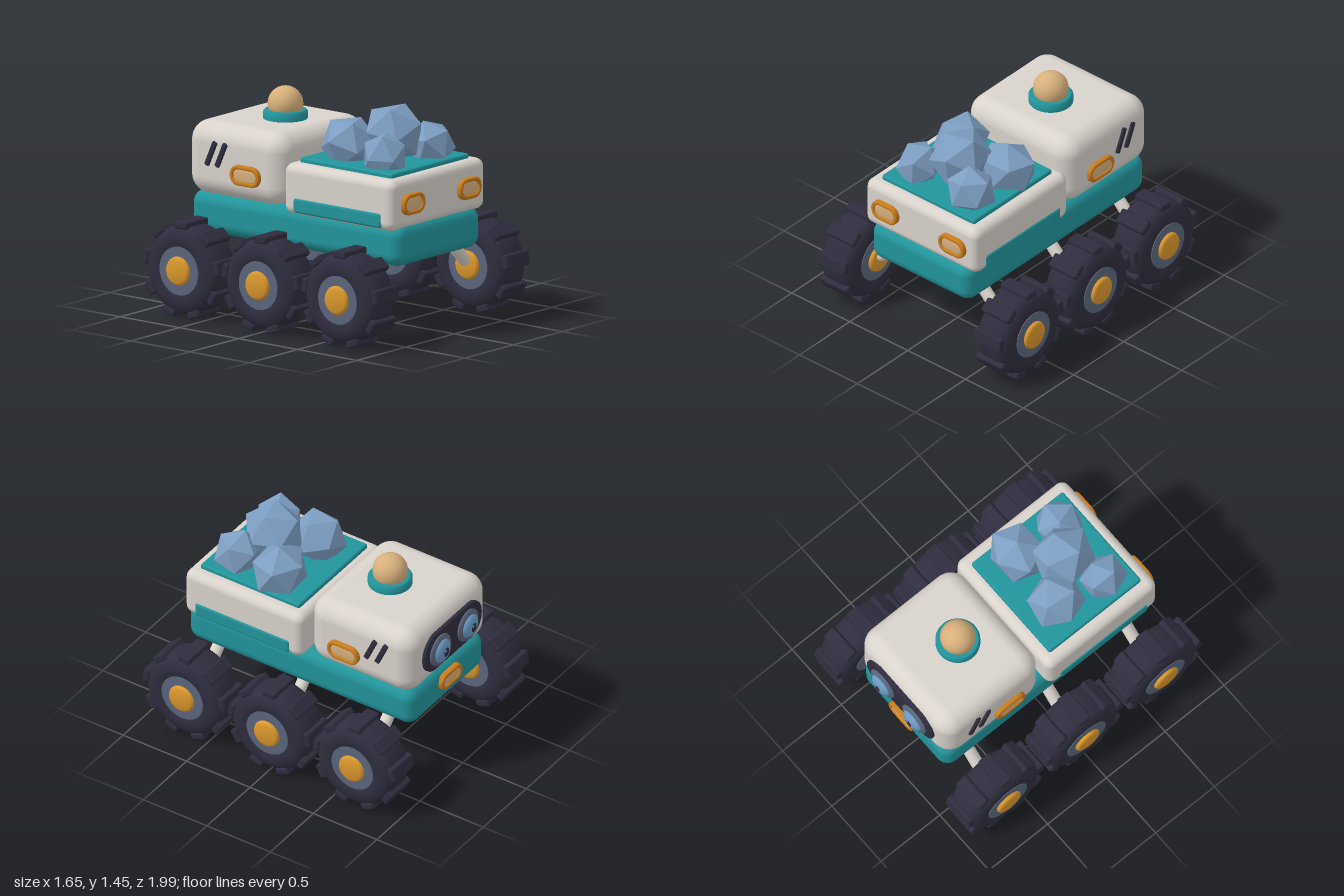
import * as THREE from 'three';
import { toCreasedNormals } from 'three/addons/utils/BufferGeometryUtils.js';
import { RoundedBoxGeometry } from 'three/addons/geometries/RoundedBoxGeometry.js';

const mat = (name, color, extra = {}) => {
  const m = new THREE.MeshStandardMaterial({ color, ...extra });
  m.name = name;
  return m;
};
const M = {
  shell: mat('shellWhite', 0xd9d3cc),
  teal: mat('teal', 0x22959c),
  dark: mat('darkRubber', 0x2f2d3e),
  slate: mat('slate', 0x5b667b),
  hub: mat('hubYellow', 0xdb982c),
  rim: mat('rimOrange', 0xc97d1c),
  tan: mat('lampTan', 0xd8b07c),
  rock: mat('rockBlue', 0x7d9ec2, { flatShading: true }),
  lens: mat('lensBlue', 0x6d9bc6),
};

function add(parent, name, geo, material, x = 0, y = 0, z = 0) {
  const m = new THREE.Mesh(geo, material);
  m.name = name;
  m.position.set(x, y, z);
  parent.add(m);
  return m;
}

function group(parent, name, x = 0, y = 0, z = 0, ry = 0) {
  const g = new THREE.Group();
  g.name = name;
  g.position.set(x, y, z);
  g.rotation.y = ry;
  parent.add(g);
  return g;
}

const rbox = (w, h, d, r, seg = 5) => new RoundedBoxGeometry(w, h, d, seg, r);
const lathe = (pts, seg = 40) =>
  toCreasedNormals(new THREE.LatheGeometry(pts.map(p => new THREE.Vector2(...p)), seg), 0.7);

// Rounded rectangle outline centred on the origin
function roundRect(w, h, r, Type = THREE.Shape) {
  const s = new Type(), x = w / 2 - r, y = h / 2 - r;
  s.absarc(x, y, r, 0, Math.PI / 2);
  s.absarc(-x, y, r, Math.PI / 2, Math.PI);
  s.absarc(-x, -y, r, Math.PI, Math.PI * 1.5);
  s.absarc(x, -y, r, Math.PI * 1.5, Math.PI * 2);
  s.closePath();
  return s;
}

// Plate from z = 0 to z = depth with a softened edge
function plate(shape, depth, bevel) {
  const g = new THREE.ExtrudeGeometry(shape, {
    depth: depth - bevel * 2, bevelEnabled: true, bevelThickness: bevel,
    bevelSize: bevel, bevelOffset: -bevel, bevelSegments: 3, curveSegments: 10,
  });
  return toCreasedNormals(g.translate(0, 0, bevel), 0.7);
}

// Lamp facing local +z: raised rim around an inset lens
function lamp(parent, name, x, y, z, ry, w = 0.22, h = 0.14) {
  const g = group(parent, name, x, y, z, ry);
  const rim = roundRect(w, h, h * 0.48);
  rim.holes.push(roundRect(w - 0.055, h - 0.055, (h - 0.055) * 0.48, THREE.Path));
  add(g, 'lampRim', plate(rim, 0.045, 0.01), M.rim, 0, 0, -0.012);
  add(g, 'lampLens', plate(roundRect(w - 0.05, h - 0.05, (h - 0.05) * 0.48), 0.035, 0.008), M.tan, 0, 0, -0.01);
}

const half = [[0.15, -0.12], [0.175, -0.131], [0.215, -0.135], [0.255, -0.125], [0.282, -0.105], [0.297, -0.07]];
const tyreGeo = lathe([...half, ...half.map(([r, y]) => [r, -y]).reverse()], 48);
const ringGeo = new THREE.CylinderGeometry(0.162, 0.162, 0.262, 40);
const hubGeo = lathe([[0, -0.157], [0.075, -0.157], [0.09, -0.151], [0.097, -0.138],
  [0.097, 0.138], [0.09, 0.151], [0.075, 0.157], [0, 0.157]], 32);
const lugGeo = rbox(0.235, 0.05, 0.1, 0.014, 2);

function wheel(parent, x, z) {
  const g = group(parent, 'wheel', x, 0.325, z);
  add(g, 'tyre', tyreGeo, M.dark).rotation.z = Math.PI / 2;
  add(g, 'wheelRing', ringGeo, M.slate).rotation.z = Math.PI / 2;
  add(g, 'hub', hubGeo, M.hub).rotation.z = Math.PI / 2;
  // Nine tread lugs, one at the very top
  for (let i = 0; i < 9; i++) {
    const a = (i / 9) * Math.PI * 2;
    add(g, 'treadLug', lugGeo, M.dark, 0, 0.3 * Math.cos(a), 0.3 * Math.sin(a)).rotation.x = a;
  }
}

function strut(parent, s, z) {
  const a = new THREE.Vector3(s * 0.32, 0.55, z), b = new THREE.Vector3(s * 0.515, 0.355, z);
  const m = add(parent, 'strut', new THREE.CylinderGeometry(0.042, 0.042, a.distanceTo(b), 20), M.shell);
  m.position.lerpVectors(a, b, 0.5);
  m.quaternion.setFromUnitVectors(new THREE.Vector3(0, 1, 0), a.clone().sub(b).normalize());
}

export function createModel() {
  const model = new THREE.Group();
  model.name = 'rover';

  // Chassis, cargo box and cab
  add(model, 'chassis', rbox(0.865, 0.28, 1.78, 0.085), M.teal, 0, 0.637, 0);
  add(model, 'cargoBox', rbox(0.97, 0.342, 0.93, 0.06), M.shell, 0, 0.915, 0.411);
  add(model, 'cargoBed', rbox(0.8, 0.06, 0.78, 0.015, 3), M.teal, 0, 1.086, 0.41);
  add(model, 'cab', rbox(0.92, 0.492, 0.825, 0.13, 8), M.shell, 0, 1.0, -0.493);

  // Beacon on the roof
  const beacon = group(model, 'beacon', 0, 1.235, -0.427);
  add(beacon, 'beaconCollar', lathe([[0, 0], [0.135, 0], [0.147, 0.012], [0.147, 0.055], [0.135, 0.07], [0, 0.07]]), M.teal);
  add(beacon, 'beaconDome', new THREE.SphereGeometry(0.117, 32, 20), M.tan, 0, 0.108, 0);

  // Running gear and side details, mirrored
  for (const s of [-1, 1]) {
    for (const z of [-0.67, 0, 0.67]) {
      wheel(model, s * 0.67, z);
      strut(model, s, z);
    }
    add(model, 'sidePanel', rbox(0.05, 0.1, 0.74, 0.018, 3), M.teal, s * 0.469, 0.814, 0.41);
    lamp(model, 'cabLamp', s * 0.457, 0.943, -0.378, s * Math.PI / 2, 0.245, 0.135);
    lamp(model, 'cargoLamp', s * 0.289, 0.915, 0.876, 0);
    for (const z of [-0.588, -0.674]) {
      add(model, 'ventSlit', rbox(0.04, 0.178, 0.036, 0.008, 2), M.dark, s * 0.457, 1.052, z).rotation.x = -s * 0.42;
    }
  }
  lamp(model, 'noseLamp', 0, 0.673, -0.888, Math.PI, 0.24, 0.12);

  // Face with two lens eyes
  const face = group(model, 'face', 0, 1.01, -0.895, Math.PI);
  add(face, 'facePlate', plate(roundRect(0.666, 0.285, 0.135), 0.032, 0.008), M.dark);
  const ball = new THREE.SphereGeometry(1, 32, 20);
  for (const s of [-1, 1]) {
    const eye = group(face, 'eye', s * 0.16, -0.005, 0.03);
    const ring = add(eye, 'eyeRing', lathe([[0, 0], [0.115, 0], [0.115, 0.012], [0.1, 0.024], [0, 0.024]]), M.slate);
    ring.rotation.x = Math.PI / 2;
    add(eye, 'eyeLens', ball, M.lens, 0, 0, 0.014).scale.set(0.087, 0.087, 0.045);
    add(eye, 'pupil', ball, M.dark, 0, 0, 0.037).scale.set(0.045, 0.05, 0.025);
    add(eye, 'eyeGlint', ball, M.lens, -0.012, 0.016, 0.056).scale.set(0.011, 0.011, 0.006);
  }

  // Rock load: centre, radii, turn
  const rocks = [
    [-0.18, 1.21, 0.26, 0.19, 0.19, 0.2, 0.4],
    [0.24, 1.2, 0.28, 0.215, 0.18, 0.19, 1.3],
    [0.01, 1.28, 0.48, 0.205, 0.205, 0.22, 0.2],
    [-0.24, 1.17, 0.61, 0.15, 0.18, 0.165, 2.0],
    [0.22, 1.18, 0.62, 0.175, 0.17, 0.165, 0.9],
  ];
  const load = group(model, 'rockLoad');
  for (const [x, y, z, rx, ry, rz, turn] of rocks) {
    const geo = new THREE.IcosahedronGeometry(1, 0);
    geo.rotateX(turn * 0.8).rotateY(turn).scale(rx, ry, rz);
    add(load, 'rock', geo, M.rock, x, y, z);
  }
  return model;
}
